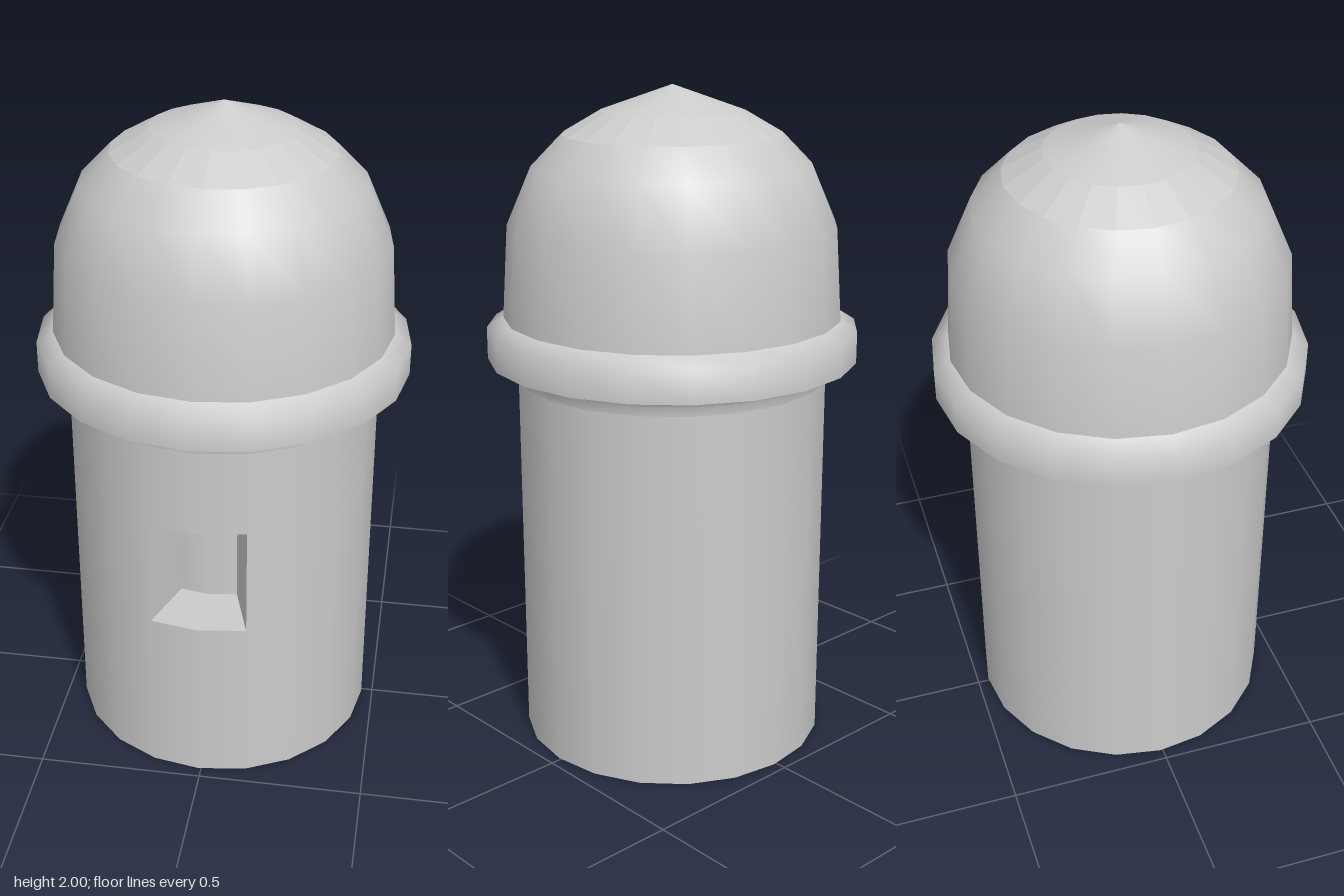
import * as THREE from 'three';

const SIDES = 20;
const STEP = (Math.PI * 2) / SIDES;
const TURN = -0.018; // slight twist of the whole tower about y
const WALL = 0.465, DEPTH = 0.28, SILL = 0.535, HEAD = 0.875;

export function createModel() {
  const group = new THREE.Group();
  const smooth = new THREE.MeshStandardMaterial({ color: 0xcccccc });
  const faceted = new THREE.MeshStandardMaterial({ color: 0xcccccc, flatShading: true });
  const thin = new THREE.MeshStandardMaterial({ color: 0xcccccc, side: THREE.DoubleSide });

  // Revolve a profile of [radius, height], starting at a side index
  function turned(name, profile, first = 0, count = SIDES, material = smooth) {
    const points = profile.map(([r, y]) => new THREE.Vector2(r, y));
    const geometry = new THREE.LatheGeometry(points, count, TURN + first * STEP, count * STEP);
    const mesh = new THREE.Mesh(geometry, material);
    mesh.name = name;
    group.add(mesh);
  }

  // Shaft, left open for two sides at the front
  turned('base', [[0, 0], [WALL, 0]]);
  turned('lowerShaft', [[WALL, 0], [WALL, SILL]]);
  turned('middleShaft', [[WALL, SILL], [WALL, HEAD]], 1, SIDES - 2);
  turned('upperShaft', [[WALL, HEAD], [WALL, 1.14]]);

  // Window niche: sill, back, head and two radial jambs
  turned('windowSill', [[WALL, SILL], [DEPTH, SILL]], -1, 2);
  turned('windowBack', [[DEPTH, SILL], [DEPTH, HEAD]], -1, 2);
  turned('windowHead', [[DEPTH, HEAD], [WALL, HEAD]], -1, 2);
  for (const side of [-1, 1]) {
    const geometry = new THREE.PlaneGeometry(WALL - DEPTH, HEAD - SILL);
    geometry.translate((WALL + DEPTH) / 2, (SILL + HEAD) / 2, 0);
    geometry.rotateY(TURN + side * STEP - Math.PI / 2);
    const jamb = new THREE.Mesh(geometry, thin);
    jamb.name = side < 0 ? 'rightWindowJamb' : 'leftWindowJamb';
    group.add(jamb);
  }

  // Cove and projecting collar
  turned('cove', [[WALL, 1.14], [0.468, 1.165], [0.478, 1.183], [0.495, 1.195], [0.515, 1.2]]);
  turned('collarUnderside', [[0.515, 1.2], [0.555, 1.2]]);
  turned('collar', [[0.555, 1.2], [0.555, 1.295], [0.505, 1.325]]);

  // Dome with a faceted band below its pointed cap
  turned('dome', [[0.505, 1.325], [0.487, 1.6], [0.413, 1.77], [0.325, 1.86]]);
  turned('domeBand', [[0.325, 1.86], [0.213, 1.925]], 0, SIDES, faceted);
  turned('domeCap', [[0.213, 1.925], [0, 2]]);

  return group;
}
